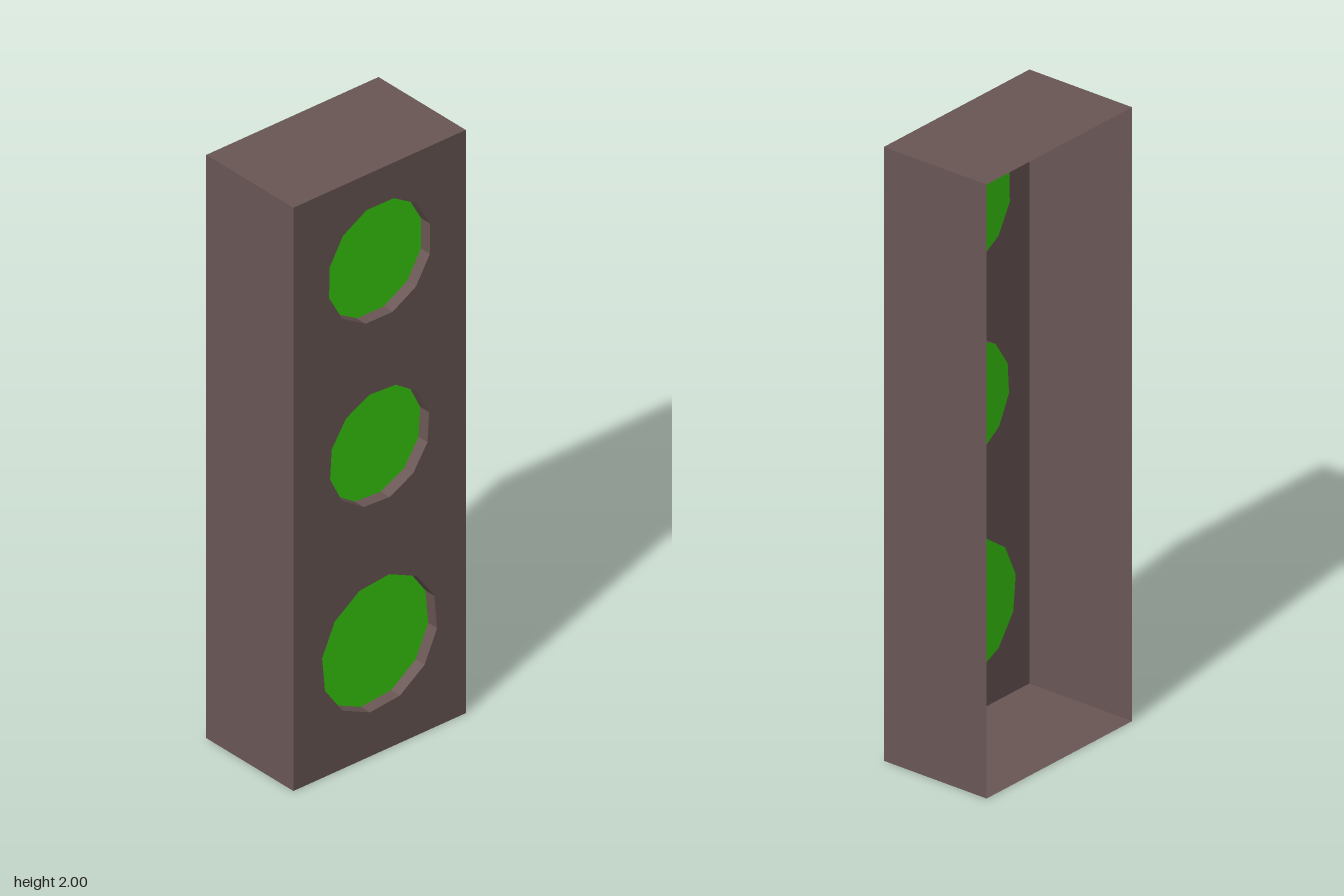
import * as THREE from 'three';

const W = 0.665, H = 2, D = 0.39, SIDES = 12, RECESS = 0.04;

// The three lamps: height, radius and turn of each twelve-sided opening
const LAMPS = [
  { name: 'topLamp', y: 1.684, r: 0.201, turn: 14.5 },
  { name: 'middleLamp', y: 1.05, r: 0.195, turn: 11.5 },
  { name: 'bottomLamp', y: 0.373, r: 0.225, turn: 20.5 },
];

export function createModel() {
  const model = new THREE.Group();
  model.name = 'signalLight';
  const casing = new THREE.MeshStandardMaterial({ color: 0x6a5755, flatShading: true, side: THREE.DoubleSide });
  const glass = new THREE.MeshStandardMaterial({ color: 0x39ca0e, flatShading: true, side: THREE.DoubleSide });

  const add = (name, geometry, material, parent = model) => {
    const mesh = new THREE.Mesh(geometry, material);
    mesh.name = name;
    parent.add(mesh);
    return mesh;
  };

  // Front panel with a round opening for each lamp
  const panel = new THREE.Shape([
    new THREE.Vector2(-W / 2, 0), new THREE.Vector2(W / 2, 0),
    new THREE.Vector2(W / 2, H), new THREE.Vector2(-W / 2, H),
  ]);
  for (const { y, r, turn } of LAMPS) {
    const corners = [];
    for (let i = 0; i < SIDES; i++) {
      const a = THREE.MathUtils.degToRad(turn) - (i / SIDES) * Math.PI * 2;
      corners.push(new THREE.Vector2(r * Math.cos(a), y + r * Math.sin(a)));
    }
    panel.holes.push(new THREE.Path(corners));
  }
  add('frontPanel', new THREE.ShapeGeometry(panel), casing).position.z = D / 2;

  // Thin side, top and bottom walls; the back is open
  for (const s of [-1, 1]) {
    const side = add(s > 0 ? 'leftWall' : 'rightWall',
      new THREE.PlaneGeometry(D, H).rotateY(s * Math.PI / 2), casing);
    side.position.set(s * W / 2, H / 2, 0);
    const cap = add(s > 0 ? 'topWall' : 'bottomWall',
      new THREE.PlaneGeometry(W, D).rotateX(-s * Math.PI / 2), casing);
    cap.position.y = s > 0 ? H : 0;
  }

  // Recessed lamps: a short sleeve behind each opening, closed by a green disc
  for (const { name, y, r, turn } of LAMPS) {
    const lamp = new THREE.Group();
    lamp.name = name;
    lamp.position.set(0, y, D / 2);
    const start = THREE.MathUtils.degToRad(turn);
    const sleeve = new THREE.CylinderGeometry(r, r, RECESS, SIDES, 1, true, start + Math.PI / 2);
    add('sleeve', sleeve.rotateX(Math.PI / 2), casing, lamp).position.z = -RECESS / 2;
    add('lens', new THREE.CircleGeometry(r, SIDES, start), glass, lamp).position.z = -RECESS;
    model.add(lamp);
  }
  return model;
}
